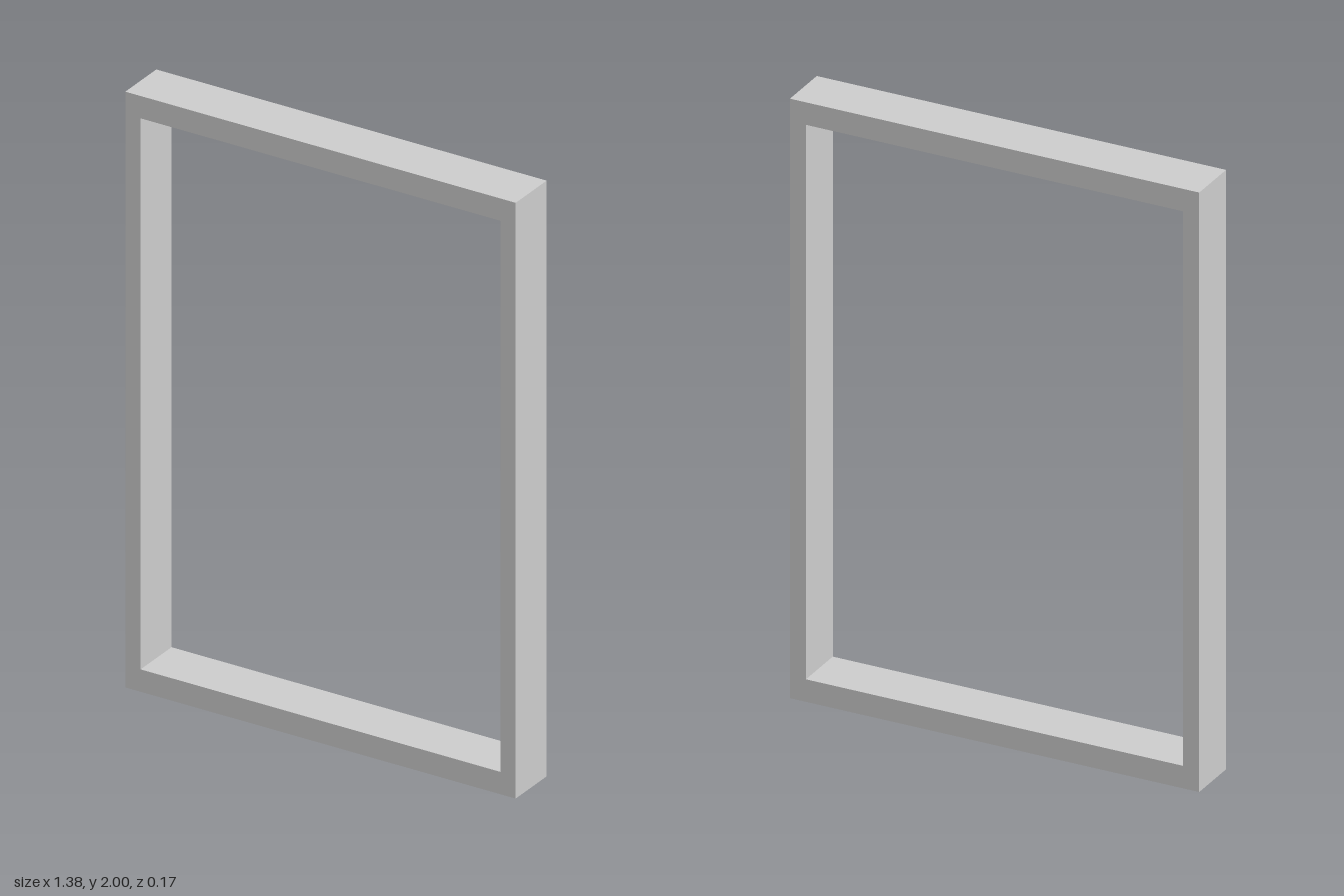
import * as THREE from 'three';

const WIDTH = 1.382, HEIGHT = 2, DEPTH = 0.174;
const SIDE = 0.054, RAIL = 0.075; // visible widths of the uprights and rails

// Adds a rectangle centred on x to a shape or path
function rectangle(path, halfWidth, bottom, top) {
  path.moveTo(-halfWidth, bottom);
  path.lineTo(halfWidth, bottom);
  path.lineTo(halfWidth, top);
  path.lineTo(-halfWidth, top);
  path.closePath();
  return path;
}

export function createModel() {
  const group = new THREE.Group();
  group.name = 'openFrame';

  // One-piece rectangular frame with an open middle
  const outline = rectangle(new THREE.Shape(), WIDTH / 2, 0, HEIGHT);
  outline.holes.push(rectangle(new THREE.Path(), WIDTH / 2 - SIDE, RAIL, HEIGHT - RAIL));
  const geometry = new THREE.ExtrudeGeometry(outline, { depth: DEPTH, bevelEnabled: false });
  geometry.translate(0, 0, -DEPTH / 2);

  const frame = new THREE.Mesh(
    geometry,
    new THREE.MeshStandardMaterial({ color: 0xcccccc, flatShading: true })
  );
  frame.name = 'frame';
  group.add(frame);
  return group;
}
